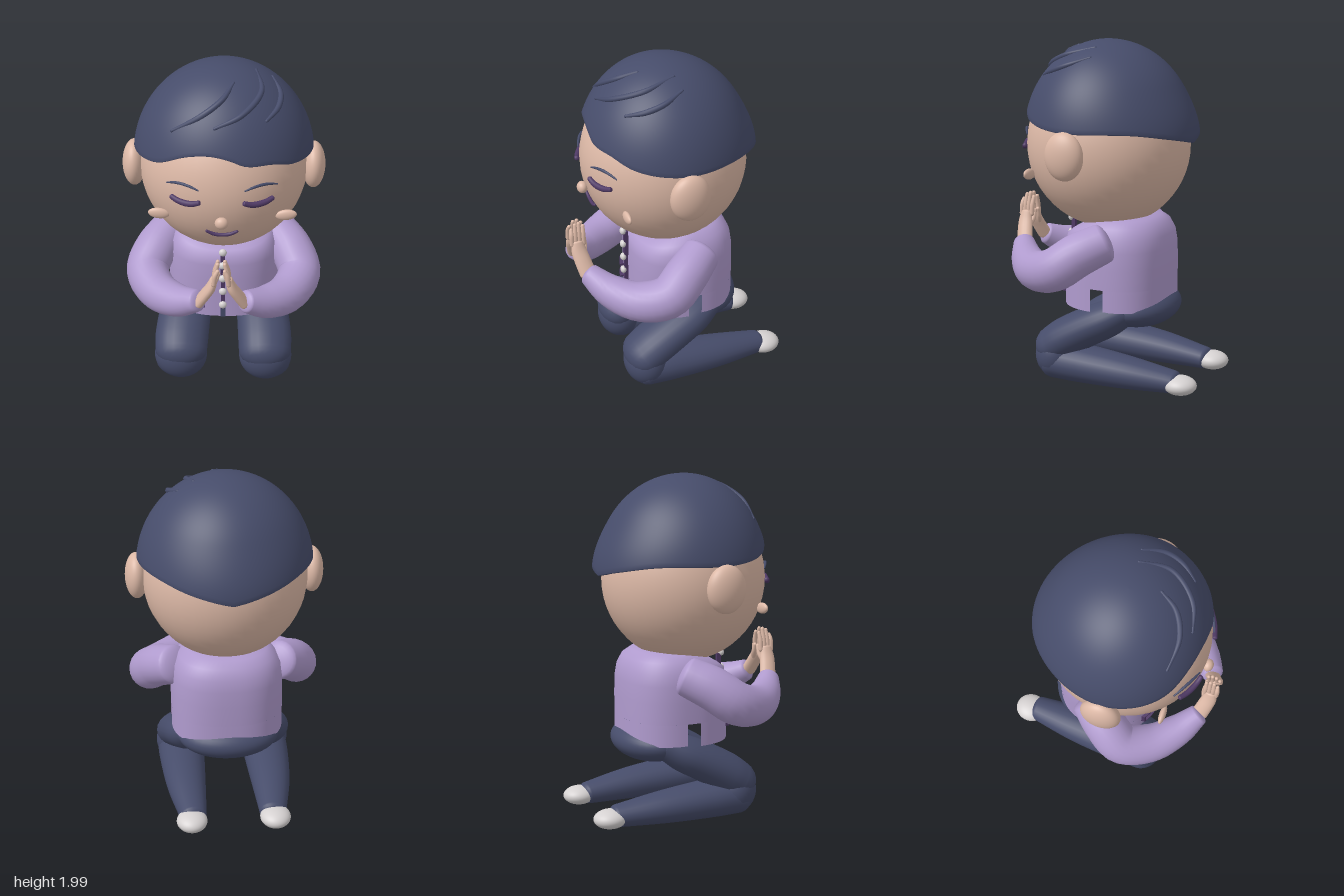
import * as THREE from 'three';

const V = (x, y, z) => new THREE.Vector3(x, y, z);
const mat = (name, color, double) => {
  const m = new THREE.MeshStandardMaterial({ color });
  m.name = name;
  if (double) m.side = THREE.DoubleSide;
  return m;
};

// Surface over a grid: f(u, v) gives a point, u may wrap round
function grid(nu, nv, f, wrap = true) {
  const pos = [], idx = [], cols = wrap ? nu : nu + 1;
  for (let j = 0; j <= nv; j++)
    for (let i = 0; i < cols; i++) pos.push(...f(i / nu, j / nv, j).toArray());
  for (let j = 0; j < nv; j++)
    for (let i = 0; i < nu; i++) {
      const a = j * cols + i, b = j * cols + ((i + 1) % cols);
      idx.push(a, b, b + cols, a, b + cols, a + cols);
    }
  const g = new THREE.BufferGeometry();
  g.setAttribute('position', new THREE.Float32BufferAttribute(pos, 3));
  g.setIndex(idx);
  g.computeVertexNormals();
  return g;
}

// Rounded limb along points [x, y, z, radius]; wide stretches it along ref, caps set end roundness
function limb(pts, wide = 1, ref = V(1, 0, 0), caps = [1, 1], sides = 24) {
  const curve = new THREE.CatmullRomCurve3(pts.map(p => V(p[0], p[1], p[2])));
  const radii = new THREE.CatmullRomCurve3(pts.map((p, i) => V(i, p[3], 0)));
  const rings = [], steps = 24, capSteps = 6;
  const add = (t, a, push) => {
    const T = curve.getTangent(t), r = radii.getPoint(t).y;
    const c = curve.getPoint(t).addScaledVector(T, push * r * Math.sin(a));
    const N = ref.clone().addScaledVector(T, -ref.dot(T)).normalize();
    rings.push({ c, N, B: T.clone().cross(N), r: r * Math.max(Math.cos(a), 0.001) });
  };
  for (let i = capSteps; i > 0; i--) add(0, (i / capSteps) * Math.PI / 2, -caps[0]);
  for (let i = 0; i <= steps; i++) add(i / steps, 0, 0);
  for (let i = 1; i <= capSteps; i++) add(1, (i / capSteps) * Math.PI / 2, caps[1]);
  return grid(sides, rings.length - 1, (u, v, j) => {
    const { c, N, B, r } = rings[j], a = u * Math.PI * 2;
    return c.clone().addScaledVector(N, r * wide * Math.cos(a)).addScaledVector(B, r * Math.sin(a));
  });
}

// Hair surface: angle from the front and elevation, fuller towards the back
const hairPoint = (phi, th, k = 1) => {
  const y = 1.45 + 0.55 * Math.sin(th), back = Math.max(0, -Math.cos(phi));
  const flare = 0.03 * back * THREE.MathUtils.smoothstep(1.75 - y, 0, 0.31);
  const rz = 0.48 + 0.03 * back;
  return V(k * 0.51 * Math.cos(th) * Math.sin(phi), y, 0.05 + k * (rz * Math.cos(th) * Math.cos(phi) - flare));
};
const hairTopY = (x, z) => 1.45 + 0.55 * Math.sqrt(Math.max(0, 1 - (x / 0.51) ** 2 - ((z - 0.05) / 0.48) ** 2));

// Jacket outline: slightly squared ellipse scaled by k, dipping at the front of the neck
const sq = v => Math.sign(v) * Math.abs(v) ** 0.8;
const jacketPoint = (phi, y, k = 1) => {
  const dip = 0.06 * Math.max(0, Math.cos(phi)) * THREE.MathUtils.smoothstep(y, 0.85, 0.98);
  return V(0.33 * k * sq(Math.sin(phi)), y - dip, -0.04 + 0.31 * k * sq(Math.cos(phi)));
};
const jacketZ = x => -0.04 + 0.31 * (1 - Math.abs(x / 0.33) ** 2.5) ** 0.4;

const HEAD = { y: 1.395, z: 0.045, r: 0.477, ry: 0.487 };
const faceZ = (x, y) => HEAD.z + HEAD.r * Math.sqrt(1 - (x / HEAD.r) ** 2 - ((y - HEAD.y) / HEAD.ry) ** 2);

export function createModel() {
  const model = new THREE.Group();
  model.name = 'kneelingFigure';
  const skin = mat('skin', 0xdcb8a6), navy = mat('navy', 0x464c6a), lilac = mat('lilac', 0xb09bce, true);
  const plum = mat('darkPlum', 0x503a66), pale = mat('paleGrey', 0xd5d1d1);
  const add = (name, geo, m, parent = model) => {
    const mesh = new THREE.Mesh(geo, m);
    mesh.name = name;
    parent.add(mesh);
    return mesh;
  };
  const ball = (name, m, p, s) => {
    const b = add(name, new THREE.SphereGeometry(1, 40, 28), m);
    b.position.set(...p);
    b.scale.set(...s);
    return b;
  };
  // Line lying on the face, points [x, y, radius]
  const faceLine = (name, m, pts, lift) => add(name,
    limb(pts.map(([x, y, r]) => [x, y, faceZ(x, y) + lift, r]), 1, V(0, 1, 0), [0.6, 0.6], 10), m);

  // Head and centre features
  ball('head', skin, [0, HEAD.y, HEAD.z], [HEAD.r, HEAD.ry, HEAD.r]);
  ball('nose', skin, [0, 1.275, 0.53], [0.037, 0.035, 0.03]);
  faceLine('mouth', plum, [[-0.085, 1.197, 0.008], [-0.045, 1.176, 0.01], [0, 1.17, 0.01], [0.045, 1.176, 0.01], [0.085, 1.197, 0.008]], 0.012);

  // Hair cap with a swept fringe line and closed rim
  const rim = new THREE.CubicInterpolant(
    [-180, -155, -130, -80, -46, -24, -8, 5, 15, 33, 50, 80, 130, 155, 180],
    [1.44, 1.485, 1.52, 1.525, 1.565, 1.645, 1.665, 1.645, 1.61, 1.595, 1.555, 1.525, 1.52, 1.485, 1.44], 1);
  add('hair', grid(96, 33, (u, v, j) => {
    const deg = u * 360 - 180, phi = deg * Math.PI / 180;
    const low = Math.asin((rim.evaluate(deg)[0] - 1.45) / 0.55);
    if (j === 0) return hairPoint(phi, low, 0.86);
    if (j === 1) return hairPoint(phi, low - 0.01, 0.985);
    return hairPoint(phi, low + (Math.PI / 2 - 0.002 - low) * (j - 2) / 31);
  }), navy);

  // Raised hair strands
  [
    [[-0.27, 0.36], [-0.11, 0.37], [0, 0.31], [0.055, 0.21]],
    [[-0.04, 0.42], [0.1, 0.37], [0.205, 0.22], [0.175, 0.045]],
    [[0.235, 0.34], [0.295, 0.25], [0.31, 0.15], [0.265, 0.03]],
  ].forEach(path => add('hairStrand', limb(path.map(([x, z], i) => {
    const end = i % 3 === 0;
    return [x, hairTopY(x, z) + (end ? -0.004 : 0.001), z, end ? 0.009 : 0.016];
  }), 1, V(0, 1, 0), [1, 1], 12), navy));

  // Jacket body, with front and back skirts split at the sides
  const profile = [[0.6, 1], [0.72, 1], [0.82, 0.99], [0.89, 0.955], [0.95, 0.86], [0.985, 0.71], [1.0, 0.5], [1.0, 0.02]];
  add('jacketBody', grid(64, profile.length - 1, (u, v, j) => jacketPoint(u * Math.PI * 2, ...profile[j])), lilac);
  const skirt = (name, from, to, hem) => add(name, grid(40, 4, (u, v) =>
    jacketPoint(THREE.MathUtils.degToRad(from + (to - from) * u), hem + (0.6 - hem) * v), false), lilac);
  skirt('jacketFrontSkirt', -85, 85, 0.465);
  skirt('jacketBackSkirt', 94, 266, 0.472);

  // Button band, hem slit and buttons
  const band = add('buttonBand', new THREE.BoxGeometry(0.024, 0.39, 0.026), plum);
  band.position.set(0, 0.73, 0.279);
  const slit = add('hemSlit', new THREE.BoxGeometry(0.03, 0.08, 0.008), navy);
  slit.position.set(0, 0.502, 0.27);
  [0.565, 0.66, 0.75, 0.84, 0.93].forEach(y => ball('button', pale, [0, y, 0.296], [0.023, 0.023, 0.018]));

  // Trouser seat
  ball('trouserSeat', navy, [0, 0.455, -0.17], [0.3, 0.122, 0.22]);

  for (const s of [1, -1]) {
    const side = s > 0 ? 'left' : 'right';
    const mx = pts => pts.map(([x, ...rest]) => [s * x, ...rest]);

    // Ear, cheek, closed eye and brow
    ball(side + 'Ear', skin, [s * 0.508, 1.393, 0.07], [0.067, 0.137, 0.116]);
    const cheek = ball(side + 'Cheek', skin, [s * 0.352, 1.243, 0.38], [0.06, 0.032, 0.019]);
    cheek.rotation.z = s * 0.12;
    faceLine(side + 'Eye', plum, mx([[0.122, 1.396, 0.014], [0.16, 1.382, 0.016], [0.2, 1.378, 0.017], [0.24, 1.382, 0.016], [0.275, 1.394, 0.014]]), 0.014);
    faceLine(side + 'Brow', navy, mx([[0.125, 1.467, 0.004], [0.17, 1.481, 0.007], [0.215, 1.486, 0.008], [0.26, 1.48, 0.007], [0.3, 1.464, 0.004]]), 0.01);

    // Pocket outline
    [[0.16, 0.62, 0.11, 0.012], [0.16, 0.538, 0.11, 0.01], [0.215, 0.579, 0.01, 0.09]].forEach(([x, y, w, h]) => {
      const g = new THREE.BoxGeometry(w, h, 0.026, 8, 1, 1), p = g.attributes.position;
      for (let i = 0; i < p.count; i++) p.setZ(i, p.getZ(i) + jacketZ(p.getX(i) + x) + 0.008);
      if (s < 0) g.rotateY(0).translate(0, 0, 0);
      for (let i = 0; s < 0 && i < p.count; i++) p.setZ(i, p.getZ(i) + jacketZ(x - p.getX(i)) - jacketZ(x + p.getX(i)));
      add(side + 'PocketEdge', g, plum).position.set(s * x, y, 0);
    });

    // Sleeve
    add(side + 'Sleeve', limb(mx([
      [0.31, 0.875, -0.07, 0.115], [0.395, 0.81, 0.05, 0.125], [0.445, 0.725, 0.17, 0.125],
      [0.375, 0.685, 0.33, 0.115], [0.25, 0.71, 0.46, 0.095], [0.14, 0.77, 0.545, 0.065]]), 1, V(1, 0, 0), [0.4, 0.4]), lilac);

    // Hand pressed towards its mirror image
    const hand = new THREE.Group();
    hand.name = side + 'Hand';
    model.add(hand);
    const Z = V(0, 0, 1);
    add('palm', limb(mx([[0.125, 0.77, 0.55, 0.031], [0.088, 0.835, 0.568, 0.03], [0.058, 0.89, 0.58, 0.028], [0.042, 0.94, 0.582, 0.021]]), 1.6, Z, [0.6, 0.6], 16), skin, hand);
    [1.015, 1.045, 1.05, 1.03].forEach((top, i) => {
      const z = 0.615 - i * 0.023;
      add('finger', limb(mx([[0.042, 0.93, z, 0.014], [0.034, 0.985, z, 0.014], [0.02, top, z - 0.003, 0.011]]), 1, Z, [1, 1], 10), skin, hand);
    });
    add('thumb', limb(mx([[0.06, 0.87, 0.552, 0.018], [0.035, 0.905, 0.54, 0.015], [0.018, 0.95, 0.538, 0.012]]), 1, Z, [1, 1], 10), skin, hand);

    // Folded leg, knee and shoe
    add(side + 'Thigh', limb(mx([
      [0.195, 0.465, -0.175, 0.08], [0.215, 0.405, -0.06, 0.108], [0.235, 0.345, 0.06, 0.115], [0.25, 0.265, 0.2, 0.118],
      [0.252, 0.215, 0.27, 0.115]]), 1.36, V(1, 0, 0), [0.2, 0.95]), navy);
    ball(side + 'Knee', navy, [s * 0.255, 0.165, 0.25], [0.158, 0.15, 0.132]);
    add(side + 'Shin', limb(mx([
      [0.262, 0.13, 0.26, 0.115], [0.262, 0.122, 0.08, 0.11], [0.255, 0.108, -0.2, 0.093], [0.235, 0.088, -0.48, 0.064]]), 1.25, V(1, 0, 0), [0.75, 0.6]), navy);
    ball(side + 'Shoe', pale, [s * 0.245, 0.08, -0.525], [0.09, 0.055, 0.098]);
  }
  return model;
}
